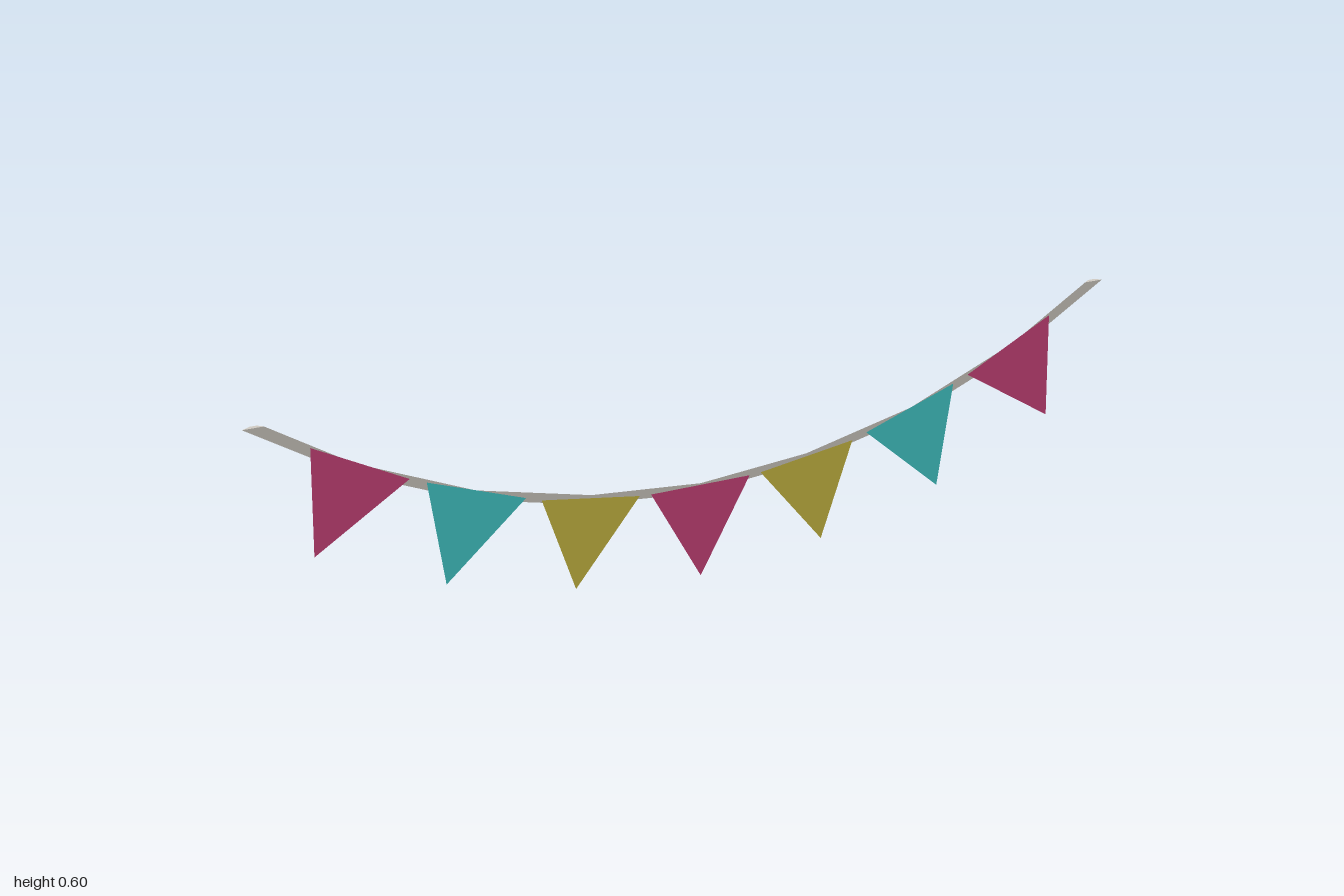
import * as THREE from 'three';

const rope = new THREE.MeshStandardMaterial({ color: 0xcfcac2, flatShading: true });
rope.name = 'rope grey';
const cloth = (name, color) => {
  const m = new THREE.MeshStandardMaterial({ color, side: THREE.DoubleSide });
  m.name = name;
  return m;
};
const pink = cloth('pink', 0xcc447b);
const teal = cloth('teal', 0x44cccc);
const yellow = cloth('yellow', 0xccbb44);

// Right half of the cord: top edge x, y and bottom edge x, y at each bend
const HALF = [
  [0, 0.256, 0, 0.231],
  [0.26, 0.281, 0.266, 0.257],
  [0.522, 0.351, 0.532, 0.328],
  [0.777, 0.474, 0.79, 0.452],
  [0.955, 0.602, 1.0, 0.602],
];
// Cord cross-section: fraction from top to bottom, and z
const PROFILE = [[0, 0.0045], [1, 0.0045], [0.62, -0.0045], [0.3, -0.0045]];

// Sagging cord, flat in front and bevelled behind, with level-cut ends
function ropeGeometry() {
  const stations = [
    ...HALF.slice(1).reverse().map(([a, b, c, d]) => [-a, b, -c, d]),
    ...HALF,
  ];
  const rings = stations.map(([tx, ty, bx, by]) => PROFILE.map(([t, z]) =>
    [tx + (bx - tx) * t, ty + (by - ty) * t, z]));
  const pos = [];
  const quad = (a, b, c, d) => pos.push(...a, ...b, ...c, ...a, ...c, ...d);
  for (let i = 0; i < rings.length - 1; i++) {
    for (let j = 0; j < 4; j++) {
      const k = (j + 1) % 4;
      quad(rings[i][j], rings[i][k], rings[i + 1][k], rings[i + 1][j]);
    }
  }
  quad(...rings[rings.length - 1]);
  quad(...[...rings[0]].reverse());
  const g = new THREE.BufferGeometry();
  g.setAttribute('position', new THREE.Float32BufferAttribute(pos, 3));
  g.computeVertexNormals();
  return g;
}

// Single-sheet triangular flag on the front of the cord
function flag(name, material, points, side = 1) {
  const shape = new THREE.Shape(points.map(([x, y]) => new THREE.Vector2(x * side, y)));
  const mesh = new THREE.Mesh(new THREE.ShapeGeometry(shape), material);
  mesh.name = name;
  mesh.position.z = 0.0052;
  return mesh;
}

export function createModel() {
  const group = new THREE.Group();
  group.name = 'bunting';

  const cord = new THREE.Mesh(ropeGeometry(), rope);
  cord.name = 'cord';
  group.add(cord);

  group.add(flag('centreFlag', pink, [[-0.12, 0.252], [0, 0], [0.12, 0.252]]));

  // Mirrored pairs, from the middle outwards: inner top, tip, outer top
  const pairs = [
    ['innerFlag', yellow, [[0.147, 0.254], [0.305, 0.035], [0.376, 0.293]]],
    ['middleFlag', teal, [[0.411, 0.307], [0.604, 0.12], [0.629, 0.395]]],
    ['outerFlag', pink, [[0.665, 0.412], [0.886, 0.26], [0.867, 0.532]]],
  ];
  for (const [name, material, points] of pairs) {
    group.add(flag(name + 'Left', material, points, 1));
    group.add(flag(name + 'Right', material, points, -1));
  }
  return group;
}
